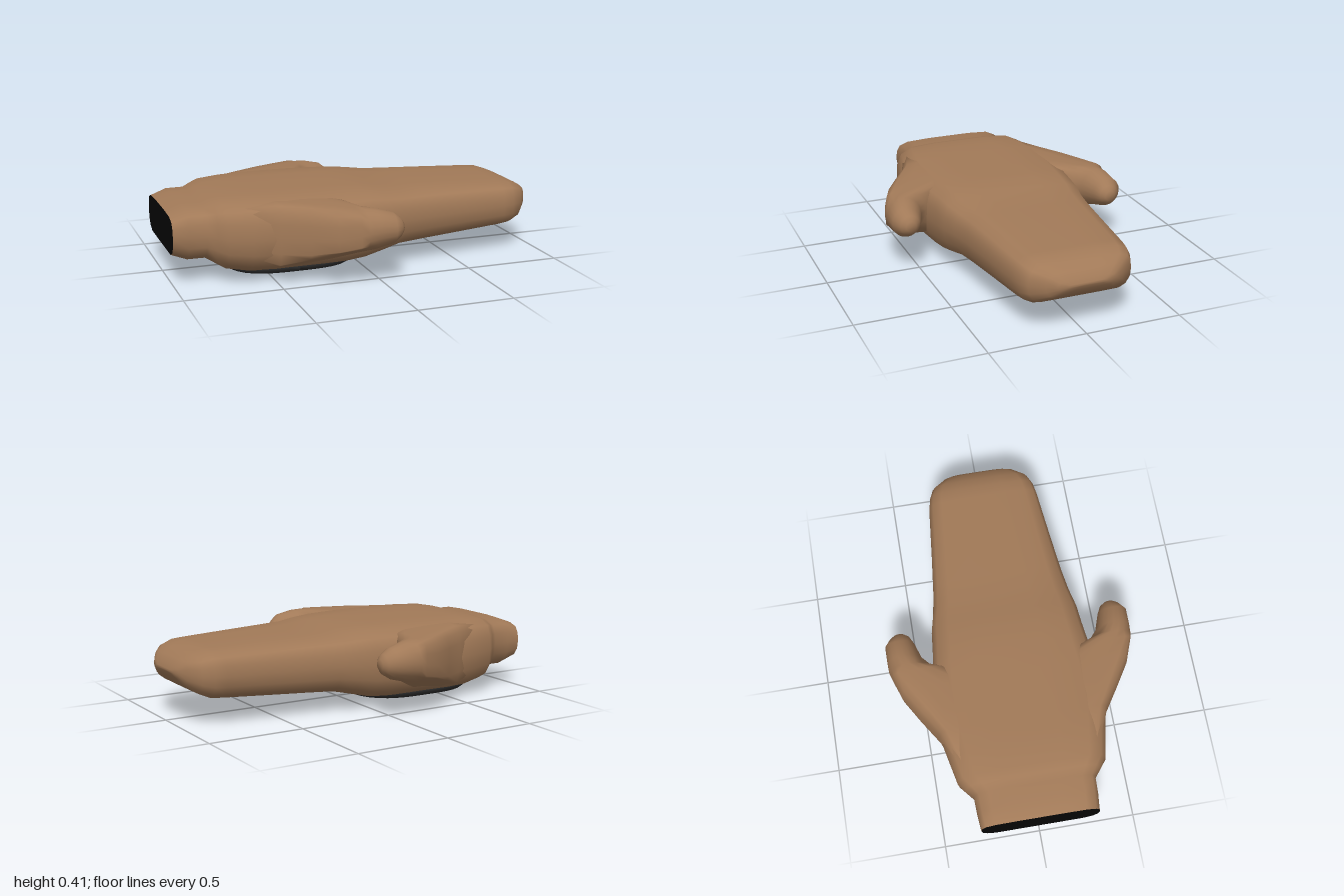
import * as THREE from 'three';

// Half cross-sections from bottom centre to top centre: [side, height], side 0..1, height 0..1
const BOXY = [[0, 0], [0.4, 0], [0.76, 0.005], [0.9, 0.1], [0.98, 0.28], [1, 0.5],
  [0.985, 0.72], [0.92, 0.89], [0.76, 0.975], [0.4, 1], [0, 1]];
const ROUND = BOXY.map((_, i) => {
  const a = (i / (BOXY.length - 1)) * Math.PI;
  return [Math.sin(a), 0.5 - 0.5 * Math.cos(a)];
});

// Full ring of [z, y] points inside the given bounds
function ring(half, z0, z1, y0, y1) {
  const mirrored = half.slice(1, -1).reverse().map(([s, h]) => [-s, h]);
  const c = (z0 + z1) / 2, w = Math.abs(z1 - z0) / 2;
  return [...half, ...mirrored].map(([s, h]) => [c + s * w, y0 + h * (y1 - y0)]);
}

// Skin through rings placed along x; the last ring is always closed
function loft(stations, closeStart) {
  const n = stations[0].pts.length, pos = [], idx = [];
  for (const { x, pts } of stations) for (const [z, y] of pts) pos.push(x, y, z);
  for (let i = 0; i < stations.length - 1; i++) {
    for (let j = 0; j < n; j++) {
      const a = i * n + j, b = i * n + (j + 1) % n;
      idx.push(a, a + n, b, b, a + n, b + n);
    }
  }
  const cap = (i, end) => {
    const { x, pts } = stations[i], c = pos.length / 3;
    const mean = k => pts.reduce((s, p) => s + p[k], 0) / n;
    pos.push(x, mean(1), mean(0));
    for (let j = 0; j < n; j++) {
      const a = i * n + j, b = i * n + (j + 1) % n;
      if (end) idx.push(c, b, a); else idx.push(c, a, b);
    }
  };
  cap(stations.length - 1, true);
  if (closeStart) cap(0, false);
  const g = new THREE.BufferGeometry();
  g.setAttribute('position', new THREE.Float32BufferAttribute(pos, 3));
  g.setIndex(idx);
  g.computeVertexNormals();
  return g;
}

export function createModel() {
  const leather = new THREE.MeshStandardMaterial({ color: 0xa27a58 });
  leather.name = 'tan leather';
  const rubber = new THREE.MeshStandardMaterial({ color: 0x2b2b2b });
  rubber.name = 'dark pad';
  const black = new THREE.MeshStandardMaterial({ color: 0x050505 });
  black.name = 'black opening';

  const model = new THREE.Group();
  model.name = 'mitten';
  const add = (name, geometry, material) => {
    const mesh = new THREE.Mesh(geometry, material);
    mesh.name = name;
    model.add(mesh);
    return mesh;
  };

  // Cuff, palm and fingers: x, half width, bottom, top
  const body = [
    [-1, 0.305, 0.15, 0.35], [-0.92, 0.312, 0.12, 0.38], [-0.83, 0.315, 0.12, 0.38],
    [-0.785, 0.35, 0.095, 0.395], [-0.74, 0.385, 0.07, 0.407], [-0.62, 0.41, 0.05, 0.415],
    [-0.49, 0.437, 0.05, 0.415], [-0.24, 0.435, 0.05, 0.415], [-0.1, 0.418, 0.05, 0.414],
    [0, 0.405, 0.058, 0.412], [0.1, 0.395, 0.082, 0.402], [0.2, 0.372, 0.104, 0.39],
    [0.32, 0.353, 0.11, 0.387], [0.55, 0.328, 0.122, 0.38], [0.8, 0.303, 0.136, 0.371],
    [0.86, 0.292, 0.141, 0.368], [0.915, 0.268, 0.165, 0.35], [0.965, 0.2, 0.2, 0.325],
    [0.99, 0.15, 0.235, 0.29], [1, 0.1, 0.255, 0.27],
  ].map(([x, w, y0, y1]) => ({ x, pts: ring(BOXY, -w, w, y0, y1) }));
  add('mittenBody', loft(body, false), leather);

  // Thumbs: x, inner z, outer z, bottom, top, profile
  const thumb = [
    [-0.66, 0.1, 0.38, 0.12, 0.39, BOXY], [-0.49, 0.1, 0.44, 0.06, 0.405, BOXY],
    [-0.36, 0.12, 0.525, 0.07, 0.405, BOXY], [-0.24, 0.15, 0.6, 0.09, 0.4, BOXY],
    [-0.14, 0.34, 0.635, 0.14, 0.395, BOXY], [-0.1, 0.42, 0.648, 0.165, 0.392, ROUND],
    [-0.05, 0.465, 0.65, 0.18, 0.387, ROUND], [0.04, 0.495, 0.65, 0.205, 0.365, ROUND],
    [0.08, 0.515, 0.62, 0.23, 0.335, ROUND], [0.098, 0.54, 0.595, 0.255, 0.31, ROUND],
  ];
  for (const side of [1, -1]) {
    const stations = thumb.map(([x, z0, z1, y0, y1, half]) => ({
      x,
      // slope the web upward underneath and gently downward on top
      pts: ring(half, side * z0, side * z1, y0, y1).map(([z, y]) => {
        const a = Math.abs(z);
        const low = 0.055 + 0.52 * Math.max(0, a - 0.34);
        const high = 0.41 - 0.08 * Math.max(0, a - 0.28);
        return [z, Math.min(high, Math.max(low, y))];
      }),
    }));
    add(side > 0 ? 'leftThumb' : 'rightThumb', loft(stations, true), leather);
  }

  // Domed palm pad: a lathe squared off into a rounded square
  const padProfile = [[0, 0], [0.3, 0.002], [0.6, 0.008], [0.82, 0.017], [0.94, 0.027],
    [1, 0.045], [0.985, 0.06], [0.9, 0.075]].map(([r, y]) => new THREE.Vector2(r, y));
  const pad = new THREE.LatheGeometry(padProfile, 48);
  const p = pad.attributes.position;
  for (let i = 0; i < p.count; i++) {
    const x = p.getX(i), z = p.getZ(i), r = Math.hypot(x, z) || 1;
    const k = r / Math.pow(Math.abs(x) ** 3.2 + Math.abs(z) ** 3.2 || 1, 1 / 3.2);
    p.setXYZ(i, -0.365 + x * k * 0.355, p.getY(i), z * k * 0.345);
  }
  pad.computeVertexNormals();
  add('palmPad', pad, rubber);

  // Dark opening at the wrist
  const shape = new THREE.Shape(body[0].pts.map(([z, y]) => new THREE.Vector2(z, y)));
  const opening = new THREE.ExtrudeGeometry(shape, { depth: 0.008, bevelEnabled: false });
  opening.rotateY(-Math.PI / 2);
  add('wristOpening', opening, black).position.x = -0.992;

  return model;
}
